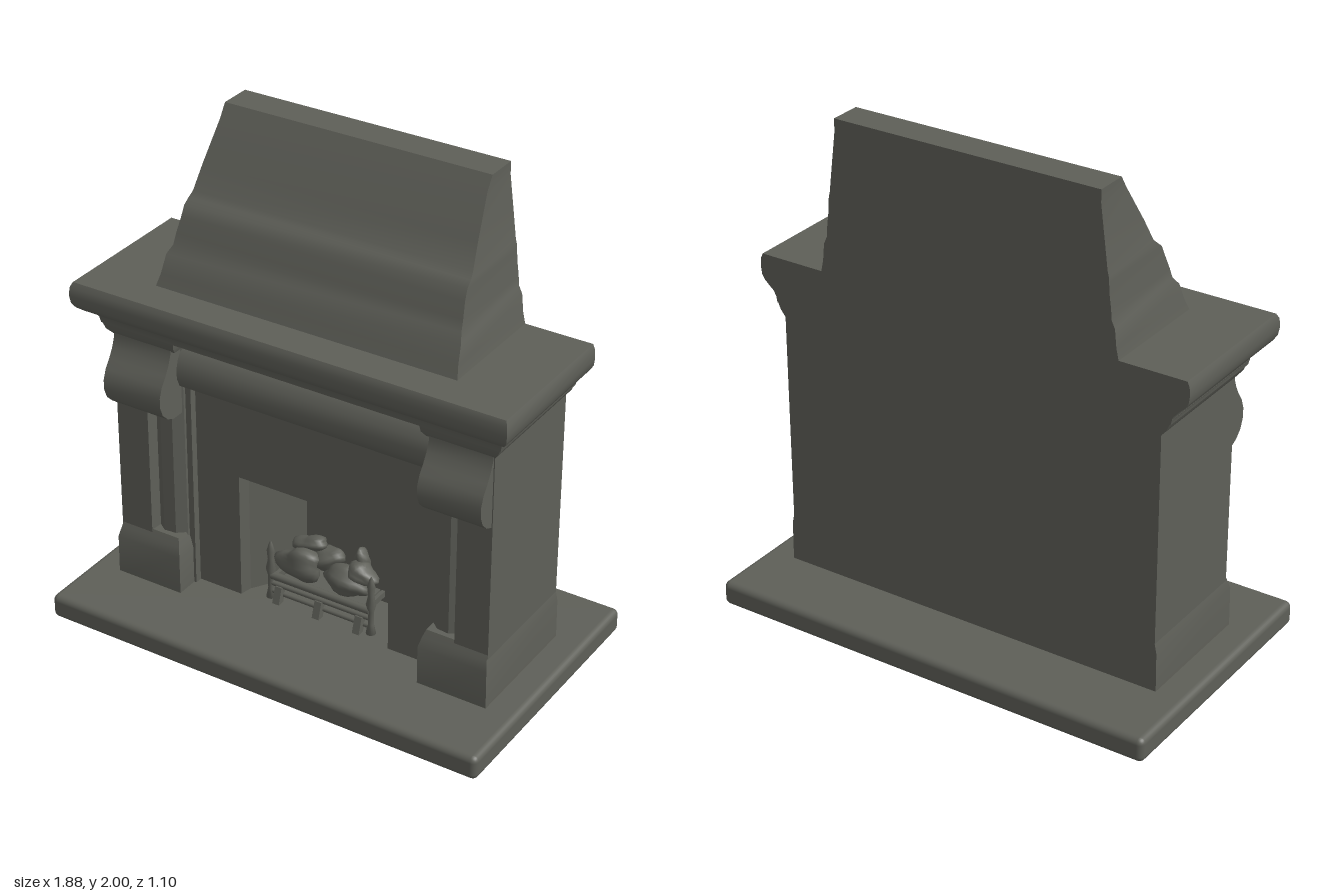
import * as THREE from 'three';
import { toCreasedNormals } from 'three/addons/utils/BufferGeometryUtils.js';
import { RoundedBoxGeometry } from 'three/addons/geometries/RoundedBoxGeometry.js';

const stone = new THREE.MeshStandardMaterial({ color: 0x5e5f58 });
stone.name = 'dark stone';

function add(parent, name, geometry, x = 0, y = 0, z = 0) {
  const mesh = new THREE.Mesh(geometry, stone);
  mesh.name = name;
  mesh.position.set(x, y, z);
  parent.add(mesh);
  return mesh;
}

// Stack of rectangles [y, x0, x1, z0, z1] joined into a capped, mitred solid
function loft(rings) {
  const pos = [], index = [];
  for (const [y, x0, x1, z0, z1] of rings)
    pos.push(x0, y, z1, x1, y, z1, x1, y, z0, x0, y, z0);
  const quad = (a, b, c, d) => index.push(a, b, c, a, c, d);
  for (let r = 0; r < rings.length - 1; r++)
    for (let i = 0; i < 4; i++) {
      const a = r * 4 + i, b = r * 4 + (i + 1) % 4;
      quad(a, b, b + 4, a + 4);
    }
  const t = (rings.length - 1) * 4;
  quad(3, 2, 1, 0);
  quad(t, t + 1, t + 2, t + 3);
  const g = new THREE.BufferGeometry();
  g.setAttribute('position', new THREE.Float32BufferAttribute(pos, 3));
  g.setIndex(index);
  return toCreasedNormals(g, 0.75);
}

// Plan outline of [x, z] points raised from y0 to y1
function raise(points, y0, y1) {
  const shape = new THREE.Shape(points.map(([x, z]) => new THREE.Vector2(x, -z)));
  const g = new THREE.ExtrudeGeometry(shape, { depth: y1 - y0, bevelEnabled: false });
  return g.rotateX(-Math.PI / 2).translate(0, y0, 0);
}

// Side profile of [z, y] points run from x0 to x1
function run(points, x0, x1) {
  const shape = new THREE.Shape(points.map(([z, y]) => new THREE.Vector2(z, y)));
  const g = new THREE.ExtrudeGeometry(shape, { depth: x1 - x0, bevelEnabled: false });
  return toCreasedNormals(g.rotateY(-Math.PI / 2).translate(x1, 0, 0), 0.75);
}

// Uneven rounded lump for the fire
function lump(rx, ry, rz, seed) {
  const g = new THREE.SphereGeometry(1, 16, 12);
  const p = g.attributes.position, v = new THREE.Vector3();
  for (let i = 0; i < p.count; i++) {
    v.fromBufferAttribute(p, i);
    const k = 1 + 0.14 * Math.sin(4 * v.x + seed) + 0.12 * Math.sin(5 * v.y + 2 * seed) * Math.cos(3 * v.z);
    p.setXYZ(i, v.x * k * rx, v.y * k * ry, v.z * k * rz);
  }
  g.computeVertexNormals();
  return g;
}

export function createModel() {
  const model = new THREE.Group();
  model.name = 'fireplace';
  const back = -0.26;

  add(model, 'hearthSlab', new RoundedBoxGeometry(1.88, 0.1, 1.1, 3, 0.025), 0, 0.05, 0);

  // Body: stepped piers either side of a recessed panel, with a splayed firebox
  const rightHalf = [[-0.81, back], [-0.81, 0.25], [-0.67, 0.25], [-0.665, 0.2], [-0.63, 0.225],
    [-0.58, 0.22], [-0.545, 0.19], [-0.54, 0.15]];
  const niche = [[-0.33, 0.15], [-0.32, 0.1], [-0.19, -0.1]];
  const mirror = (pts) => pts.map(([x, z]) => [-x, z]).reverse();
  add(model, 'lowerBody', raise([...rightHalf, ...niche, ...mirror(niche), ...mirror(rightHalf)].reverse(), 0.09, 0.63));
  add(model, 'upperBody', raise([...rightHalf, ...mirror(rightHalf)].reverse(), 0.63, 1.21));

  // Rounded lintel with a small fillet above it
  add(model, 'lintel', run([[0.1, 0.97], [0.18, 0.97], [0.205, 0.985], [0.22, 1.02], [0.222, 1.06],
    [0.21, 1.1], [0.185, 1.14], [0.17, 1.15], [0.205, 1.16], [0.225, 1.2], [0.225, 1.22], [0.1, 1.22]], -0.55, 0.55));

  const corbel = [[0.1, 0.865], [0.25, 0.865], [0.285, 0.88], [0.315, 0.91], [0.33, 0.95], [0.33, 0.99],
    [0.315, 1.03], [0.29, 1.065], [0.27, 1.1], [0.255, 1.14], [0.255, 1.18], [0.1, 1.18]];
  for (const s of [-1, 1]) {
    const side = s < 0 ? 'right' : 'left';
    const span = (y, a, b, z1, z0 = back) => [y, Math.min(s * a, s * b), Math.max(s * a, s * b), z0, z1];
    add(model, side + 'Plinth', loft([span(0.09, 0.53, 0.82, 0.272), span(0.26, 0.53, 0.818, 0.272),
      span(0.3, 0.54, 0.81, 0.258), span(0.33, 0.55, 0.805, 0.245)]));
    add(model, side + 'Corbel', run(corbel, Math.min(s * 0.55, s * 0.806), Math.max(s * 0.55, s * 0.806)));
    add(model, side + 'Collar', loft([span(1.15, 0.535, 0.81, 0.25), span(1.175, 0.525, 0.83, 0.27),
      span(1.22, 0.52, 0.85, 0.28)]));
    add(model, side + 'PanelFrame', new THREE.BoxGeometry(0.03, 0.88, 0.04), s * 0.535, 0.54, 0.16);
  }

  // Mantel cornice, wrapped round the front and sides
  const cornice = [[1.2, 0.845, 0.277], [1.225, 0.85, 0.282], [1.245, 0.86, 0.297], [1.262, 0.88, 0.33],
    [1.28, 0.9, 0.352], [1.3, 0.912, 0.364], [1.33, 0.916, 0.368], [1.365, 0.914, 0.366], [1.385, 0.905, 0.355]];
  add(model, 'mantel', loft(cornice.map(([y, x, z]) => [y, -x, x, back, z])));

  // Sloping chimney hood with a slightly wavy face
  const hood = [[1.38, 0.635, 0.217], [1.43, 0.624, 0.195], [1.5, 0.617, 0.167], [1.53, 0.603, 0.142],
    [1.57, 0.6, 0.127], [1.63, 0.592, 0.103], [1.67, 0.59, 0.085], [1.69, 0.588, 0.06], [1.71, 0.583, 0.038],
    [1.8, 0.572, -0.01], [1.95, 0.553, -0.1], [2, 0.553, -0.132]];
  add(model, 'chimneyHood', loft(hood.map(([y, x, z]) => [y, -x, x, back, z])));

  // Fire basket: posts with finials, rails, slats and feet
  const basket = new THREE.Group();
  basket.name = 'fireBasket';
  model.add(basket);
  const post = [[0.001, 0.1], [0.02, 0.1], [0.012, 0.14], [0.012, 0.2], [0.02, 0.23], [0.012, 0.27],
    [0.016, 0.31], [0.008, 0.34], [0.001, 0.355]].map(([r, y]) => new THREE.Vector2(r, y));
  for (const x of [-0.225, 0.225]) {
    add(basket, 'post', new THREE.LatheGeometry(post, 10), x, 0, 0.1);
    add(basket, 'sideRail', new THREE.BoxGeometry(0.015, 0.025, 0.13), x * 0.9, 0.2, 0.04);
  }
  for (const [y, r] of [[0.2, 0.016], [0.165, 0.01], [0.13, 0.01]])
    add(basket, 'rail', new THREE.CylinderGeometry(r, r, 0.44, 10), 0, y, 0.1).rotation.z = Math.PI / 2;
  for (const x of [-0.18, 0, 0.18])
    add(basket, 'foot', new THREE.BoxGeometry(0.03, 0.07, 0.03), x, 0.13, 0.115).rotation.x = -0.3;
  add(basket, 'tray', new THREE.BoxGeometry(0.36, 0.02, 0.14), 0, 0.19, 0.03);

  // Heaped fuel: [x, y, z, rx, ry, rz, tilt]
  const fuel = [[-0.12, 0.27, 0.06, 0.1, 0.07, 0.05, 0.25], [0.09, 0.265, 0.06, 0.11, 0.055, 0.05, -0.1],
    [0.15, 0.31, 0.04, 0.06, 0.04, 0.05, -0.4], [-0.1, 0.345, 0.02, 0.07, 0.03, 0.04, 0.3],
    [0.13, 0.345, 0.01, 0.03, 0.05, 0.03, 0.3], [-0.02, 0.3, 0.01, 0.08, 0.045, 0.05, 0.5]];
  fuel.forEach(([x, y, z, rx, ry, rz, tilt], i) => {
    add(basket, 'fuelLump', lump(rx, ry, rz, i * 1.7), x, y, z).rotation.z = tilt;
  });

  return model;
}
